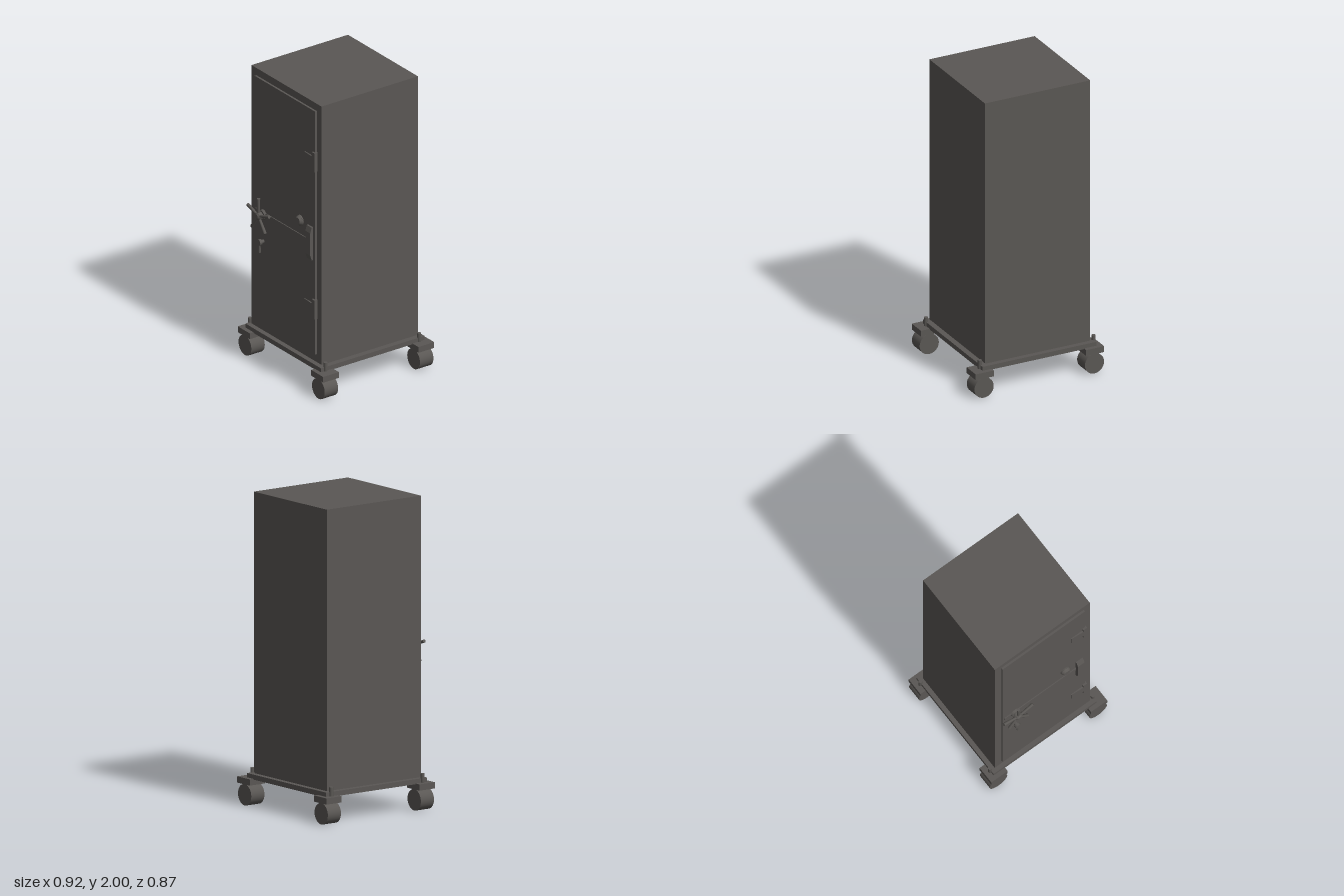
import * as THREE from 'three';

export function createModel() {
  const model = new THREE.Group();
  const steel = new THREE.MeshStandardMaterial({ color: 0x5a5754 });
  steel.name = 'dark grey steel';

  const add = (name, geometry, parent = model) => {
    const mesh = new THREE.Mesh(geometry, steel);
    mesh.name = name;
    parent.add(mesh);
    return mesh;
  };
  // Box given by its lower and upper corners
  const box = (name, x0, x1, y0, y1, z0, z1, parent) => {
    const mesh = add(name, new THREE.BoxGeometry(x1 - x0, y1 - y0, z1 - z0), parent);
    mesh.position.set((x0 + x1) / 2, (y0 + y1) / 2, (z0 + z1) / 2);
    return mesh;
  };
  // Cylinder pointing along +z, from z0 to z1
  const rod = (name, x, y, z0, z1, r0, r1 = r0, sides = 20, parent) => {
    const mesh = add(name, new THREE.CylinderGeometry(r1, r0, z1 - z0, sides).rotateX(Math.PI / 2), parent);
    mesh.position.set(x, y, (z0 + z1) / 2);
    return mesh;
  };

  // Cabinet, door and trolley plate
  box('cabinet', -0.386, 0.358, 0.21, 2, -0.382, 0.364);
  box('door', -0.335, 0.31, 0.265, 1.95, 0.36, 0.378);
  box('plinth', -0.38, 0.352, 0.19, 0.212, -0.376, 0.358);
  box('trolleyPlate', -0.415, 0.39, 0.172, 0.204, -0.41, 0.391);

  // Casters at the four corners
  for (const x of [-0.391, 0.389]) {
    for (const z of [-0.378, 0.359]) {
      const caster = new THREE.Group();
      caster.name = 'caster';
      model.add(caster);
      box('casterBracket', x - 0.064, x + 0.064, 0.137, 0.177, z - 0.061, z + 0.061, caster);
      rod('casterWheel', x, 0.068, z - 0.052, z + 0.052, 0.068, 0.068, 28, caster);
      const pin = add('casterPin', new THREE.CylinderGeometry(0.013, 0.013, 0.07, 16), caster);
      pin.position.set(x < 0 ? -0.416 : 0.388, 0.2, z < 0 ? -0.37 : 0.354);
    }
  }

  // Hinges: an upright barrel with a wedge-shaped leaf on the door
  for (const y of [1.6, 0.58]) {
    const hinge = new THREE.Group();
    hinge.name = 'hinge';
    model.add(hinge);
    box('hingeBarrel', 0.289, 0.318, y - 0.066, y + 0.066, 0.362, 0.39, hinge);
    const profile = new THREE.Shape([[0.2, -0.37], [0.295, -0.37], [0.295, -0.39], [0.2, -0.383]]
      .map(([x, z]) => new THREE.Vector2(x, z)));
    const leaf = new THREE.ExtrudeGeometry(profile, { depth: 0.07, bevelEnabled: false }).rotateX(-Math.PI / 2);
    add('hingeLeaf', leaf, hinge).position.y = y - 0.035;
  }

  // Cross bar and pull handle with sloping ends
  box('crossBar', -0.32, 0.24, 1.008, 1.043, 0.375, 0.384);
  const side = new THREE.Shape([[-0.37, 0.913], [-0.39, 0.913], [-0.401, 0.95], [-0.401, 1.103], [-0.39, 1.14], [-0.37, 1.14]]
    .map(([z, y]) => new THREE.Vector2(z, y)));
  const pull = new THREE.ExtrudeGeometry(side, { depth: 0.052, bevelEnabled: false }).rotateY(Math.PI / 2);
  add('pullHandle', pull).position.x = 0.237;

  // Combination dial
  rod('dialFlange', 0.154, 1.138, 0.375, 0.386, 0.035);
  rod('dialKnob', 0.154, 1.138, 0.386, 0.403, 0.034, 0.025);

  // Five-spoke hand wheel
  const wheel = new THREE.Group();
  wheel.name = 'handWheel';
  wheel.position.set(-0.24, 1.024, 0);
  model.add(wheel);
  rod('handWheelFlange', 0, 0, 0.375, 0.393, 0.036, 0.03, 20, wheel);
  rod('handWheelShaft', 0, 0, 0.39, 0.402, 0.018, 0.018, 16, wheel);
  rod('handWheelHub', 0, 0, 0.4, 0.424, 0.027, 0.025, 16, wheel);
  rod('handWheelCap', 0, 0, 0.424, 0.433, 0.025, 0.014, 16, wheel);
  for (let i = 0; i < 5; i++) {
    const spoke = add('spoke', new THREE.CylinderGeometry(0.011, 0.008, 0.12, 10).translate(0, 0.06, 0), wheel);
    spoke.position.z = 0.416;
    spoke.rotation.z = i * Math.PI * 2 / 5;
  }

  // Key lever under the hand wheel
  rod('keyStem', -0.24, 0.839, 0.375, 0.402, 0.012, 0.012, 16);
  rod('keyKnob', -0.24, 0.839, 0.398, 0.417, 0.02, 0.02, 16);
  const lever = add('keyLever', new THREE.CylinderGeometry(0.007, 0.008, 0.07, 10));
  lever.position.set(-0.24, 0.805, 0.408);

  return model;
}
